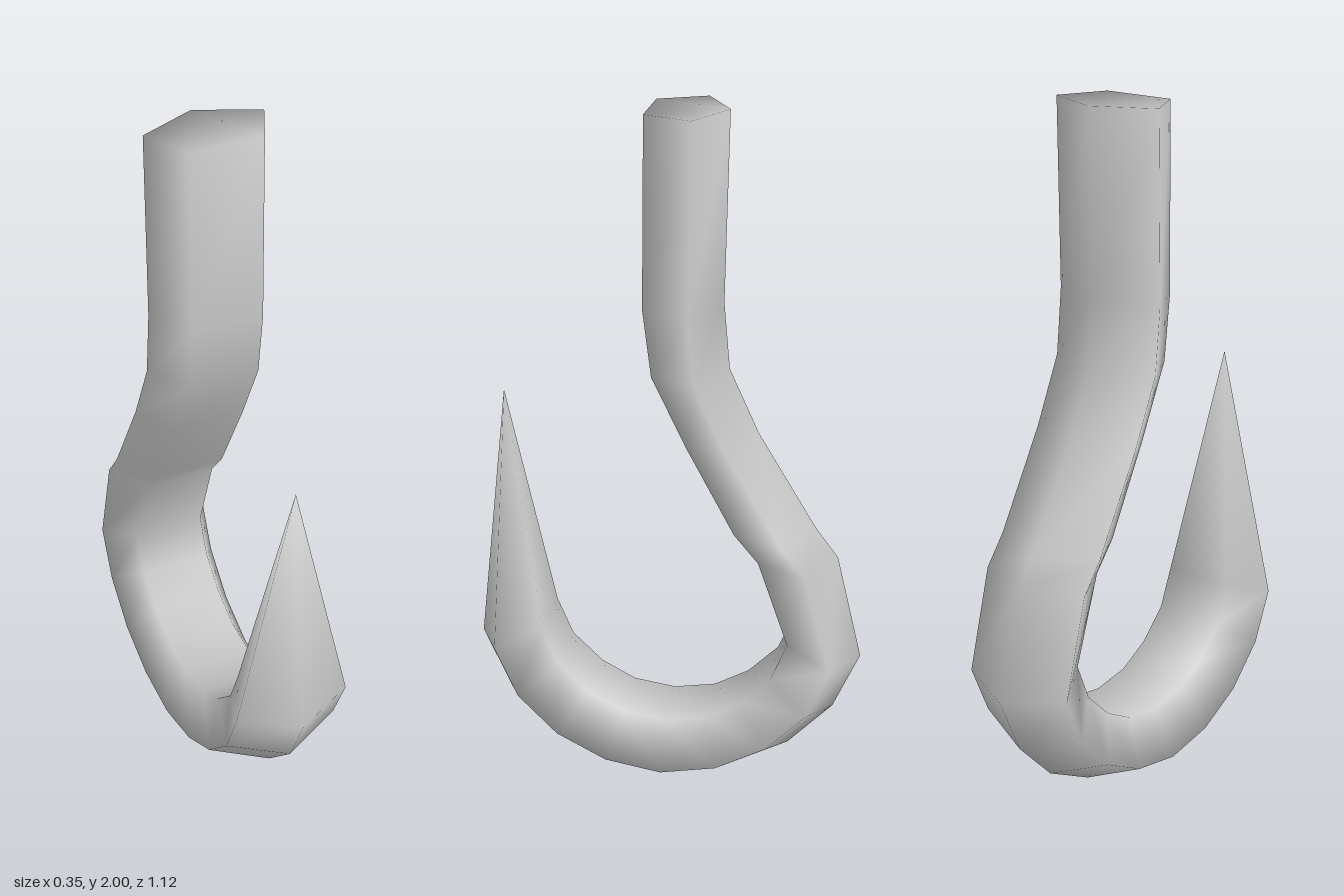
import * as THREE from 'three';

// Hook sections from shank top to barb: [outer z, outer y, inner z, inner y]
const shank = [
  [-0.165, 2.0, 0.053, 2.0],
  [-0.153, 1.466, 0.058, 1.466],
  [-0.17, 1.275, 0.034, 1.275],
  [-0.254, 1.09, -0.063, 1.074],
  [-0.423, 0.81, -0.2, 0.82],
  [-0.487, 0.725, -0.27, 0.737],
];
const bend = [
  [-0.56, 0.42, -0.357, 0.487],
  [-0.484, 0.252, -0.31, 0.376],
  [-0.354, 0.12, -0.222, 0.291],
  [-0.185, 0.034, -0.122, 0.238],
];
const bottom = [0, 0, 0, 0.219];
const tip = [0, 1.18, 0.476];

// Pentagon across the section: [x, fraction from outer ridge to inner flat]
const pentagon = [[0, 0], [0.173, 0.37], [0.107, 1], [-0.107, 1], [-0.173, 0.37]];

function hookGeometry() {
  // The front half of the bend mirrors the back half
  const front = bend.map(([oz, oy, iz, iy]) => [-oz, oy, -iz, iy]).reverse();
  const sections = [...shank, ...bend, bottom, ...front];
  const n = pentagon.length;
  const positions = [];
  const index = [];

  for (const [oz, oy, iz, iy] of sections) {
    for (const [x, t] of pentagon) {
      positions.push(x, oy + (iy - oy) * t, oz + (iz - oz) * t);
    }
  }
  positions.push(...tip);
  const tipIndex = sections.length * n;

  sections.forEach((_, i) => {
    for (let j = 0; j < n; j++) {
      const a = i * n + j;
      const b = i * n + (j + 1) % n;
      if (i === sections.length - 1) index.push(a, b, tipIndex); // sharp point
      else index.push(a, b, b + n, a, b + n, a + n);
    }
  });
  // Flat cap on the shank
  for (let j = 1; j < n - 1; j++) index.push(0, j + 1, j);

  const geometry = new THREE.BufferGeometry();
  geometry.setAttribute('position', new THREE.Float32BufferAttribute(positions, 3));
  geometry.setIndex(index);
  geometry.computeVertexNormals();
  return geometry;
}

export function createModel() {
  const group = new THREE.Group();
  group.name = 'hook';
  const hook = new THREE.Mesh(
    hookGeometry(),
    new THREE.MeshStandardMaterial({ color: 0xcccccc })
  );
  hook.name = 'hookBody';
  group.add(hook);
  return group;
}
